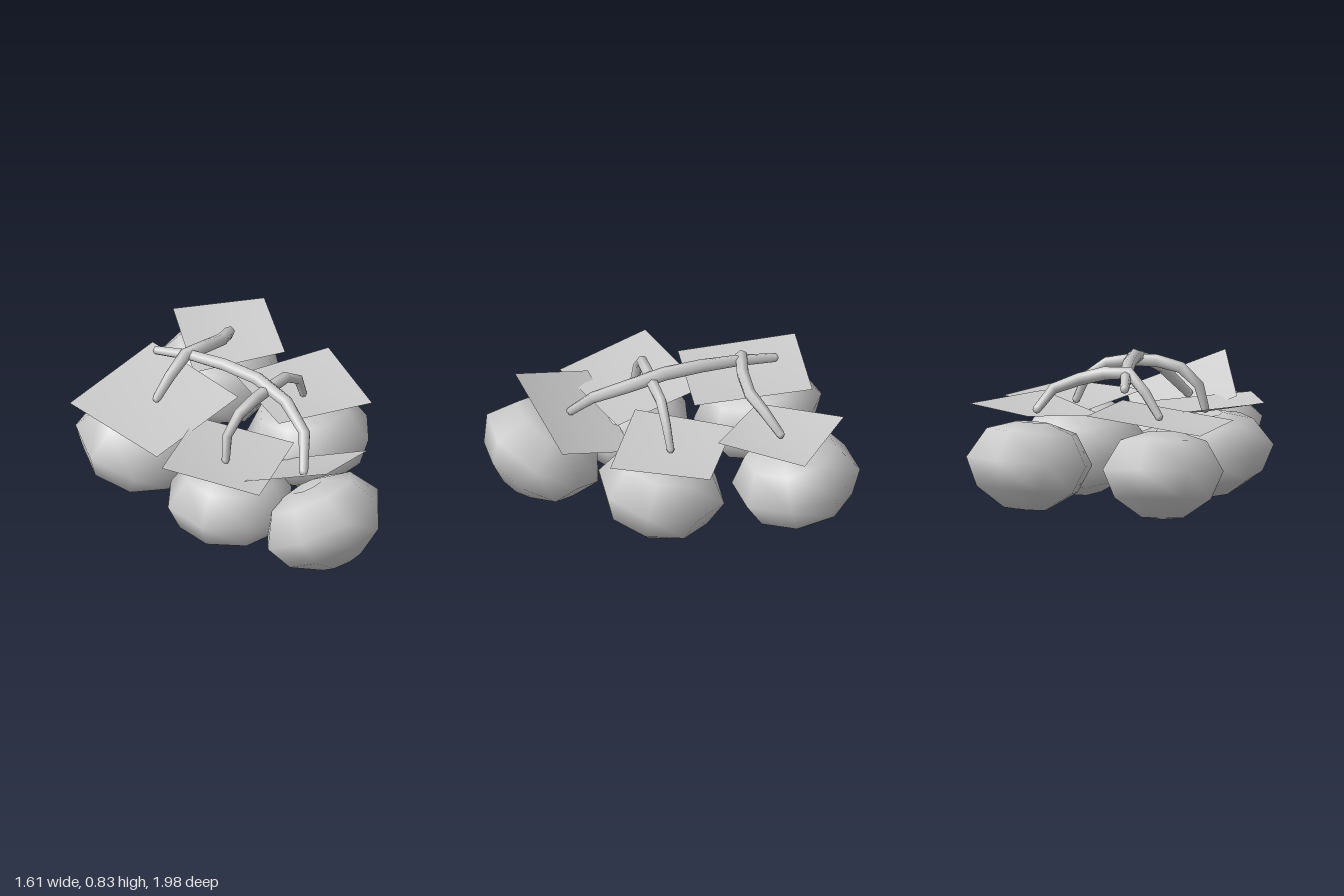
import * as THREE from 'three';

const skin = new THREE.MeshStandardMaterial({ color: 0xcccccc });
const thin = new THREE.MeshStandardMaterial({ color: 0xcccccc, side: THREE.DoubleSide });
const V = (a) => new THREE.Vector3(...a);

// Squat eight-sided fruit with a dimpled top, centred on its own middle
function makeFruit({ at, lean, spin, height }) {
  const profile = [[0, 0], [0.12, 0.01], [0.28, 0.12], [0.35, 0.28], [0.25, 0.45], [0.09, 0.5], [0, 0.46]]
    .map(([r, y]) => new THREE.Vector2(r, (y - 0.25) * height / 0.5));
  const geometry = new THREE.LatheGeometry(profile, 8);
  geometry.rotateY(spin);
  const fruit = new THREE.Mesh(geometry, skin);
  fruit.name = 'fruit';
  fruit.position.copy(V(at));
  fruit.quaternion.setFromUnitVectors(new THREE.Vector3(0, 1, 0), V(lean).normalize());
  return fruit;
}

// Square leaf sheet: four corners around a sunken middle
function makeLeaf(corners) {
  const centre = corners.reduce((sum, c) => sum.add(V(c)), new THREE.Vector3()).divideScalar(4);
  centre.y -= 0.05;
  const geometry = new THREE.BufferGeometry();
  geometry.setAttribute('position', new THREE.Float32BufferAttribute([...corners.flat(), ...centre.toArray()], 3));
  geometry.setIndex([0, 1, 2, 3].flatMap((i) => [4, (i + 1) % 4, i]));
  geometry.computeVertexNormals();
  const leaf = new THREE.Mesh(geometry, thin);
  leaf.name = 'leafSheet';
  return leaf;
}

// Six-sided stem through a few points, thickest in the middle, with closed ends
function makeStem(name, points, radius) {
  const group = new THREE.Group();
  group.name = name;
  const path = points.map(V);
  const curve = new THREE.CatmullRomCurve3(path, false, 'centripetal');
  const segments = path.length;
  const geometry = new THREE.TubeGeometry(curve, segments, radius, 6);
  const position = geometry.attributes.position;
  const vertex = new THREE.Vector3();
  for (let i = 0; i < position.count; i++) {
    const t = Math.floor(i / 7) / segments;
    const centre = curve.getPointAt(t);
    vertex.fromBufferAttribute(position, i).sub(centre).multiplyScalar(0.65 + 0.35 * Math.sin(Math.PI * t)).add(centre);
    position.setXYZ(i, vertex.x, vertex.y, vertex.z);
  }
  const tube = new THREE.Mesh(geometry, thin);
  tube.name = name + 'Tube';
  group.add(tube);
  for (const end of [path[0], path[path.length - 1]]) {
    const cap = new THREE.Mesh(new THREE.SphereGeometry(radius * 0.65, 6, 4), skin);
    cap.name = name + 'End';
    cap.position.copy(end);
    group.add(cap);
  }
  return group;
}

export function createModel() {
  const model = new THREE.Group();
  model.name = 'fruitCluster';

  // Fruits and the leaf sheet over each; corners run clockwise from above
  const fruits = [
    { at: [0.1, 0.325, -0.68], lean: [0.08, 1, 0.16], spin: Math.PI / 8, height: 0.475,
      leaf: [[-0.12, 0.655, -0.85], [0.38, 0.645, -0.87], [0.4, 0.65, -0.36], [-0.1, 0.595, -0.34]] },
    { at: [-0.43, 0.3, -0.18], lean: [0.16, 1, 0.14], spin: 0.53, height: 0.47,
      leaf: [[-0.28, 0.65, -0.58], [0.09, 0.61, -0.06], [-0.42, 0.54, 0.3], [-0.8, 0.58, -0.21]] },
    { at: [0.47, 0.285, -0.05], lean: [-0.1, 1, -0.14], spin: 0.25, height: 0.48,
      leaf: [[0.12, 0.57, -0.31], [0.65, 0.59, -0.44], [0.79, 0.585, 0.09], [0.26, 0.605, 0.21]] },
    { at: [-0.045, 0.28, 0.415], lean: [0.03, 1, -0.06], spin: 0.15, height: 0.44,
      leaf: [[-0.15, 0.56, 0.01], [0.33, 0.52, 0.28], [0.05, 0.56, 0.77], [-0.43, 0.61, 0.5]] },
    { at: [0.42, 0.275, 0.7], lean: [-0.4, 1, -0.47], spin: 0.3, height: 0.46,
      leaf: [[0.3, 0.36, 0.2], [0.705, 0.52, 0.42], [0.4, 0.72, 0.86], [-0.01, 0.56, 0.63]] },
  ];
  for (const fruit of fruits) model.add(makeFruit(fruit), makeLeaf(fruit.leaf));

  // Main vine and the two arching cross stems
  model.add(
    makeStem('mainVine', [[0.33, 0.53, 0.56], [0.36, 0.69, 0.4], [0.29, 0.77, 0.23], [0.15, 0.825, 0.06],
      [-0.14, 0.81, -0.21], [-0.3, 0.77, -0.34]], 0.038),
    makeStem('frontCrossStem', [[-0.06, 0.53, 0.38], [-0.04, 0.68, 0.34], [0.05, 0.765, 0.27],
      [0.2, 0.785, 0.15], [0.34, 0.76, 0.01], [0.42, 0.68, -0.06], [0.45, 0.56, -0.1]], 0.034),
    makeStem('backCrossStem', [[0.135, 0.62, -0.6], [0.13, 0.71, -0.52], [0.03, 0.78, -0.34],
      [-0.17, 0.82, -0.21], [-0.26, 0.72, -0.17], [-0.34, 0.6, -0.14]], 0.036),
  );
  return model;
}
